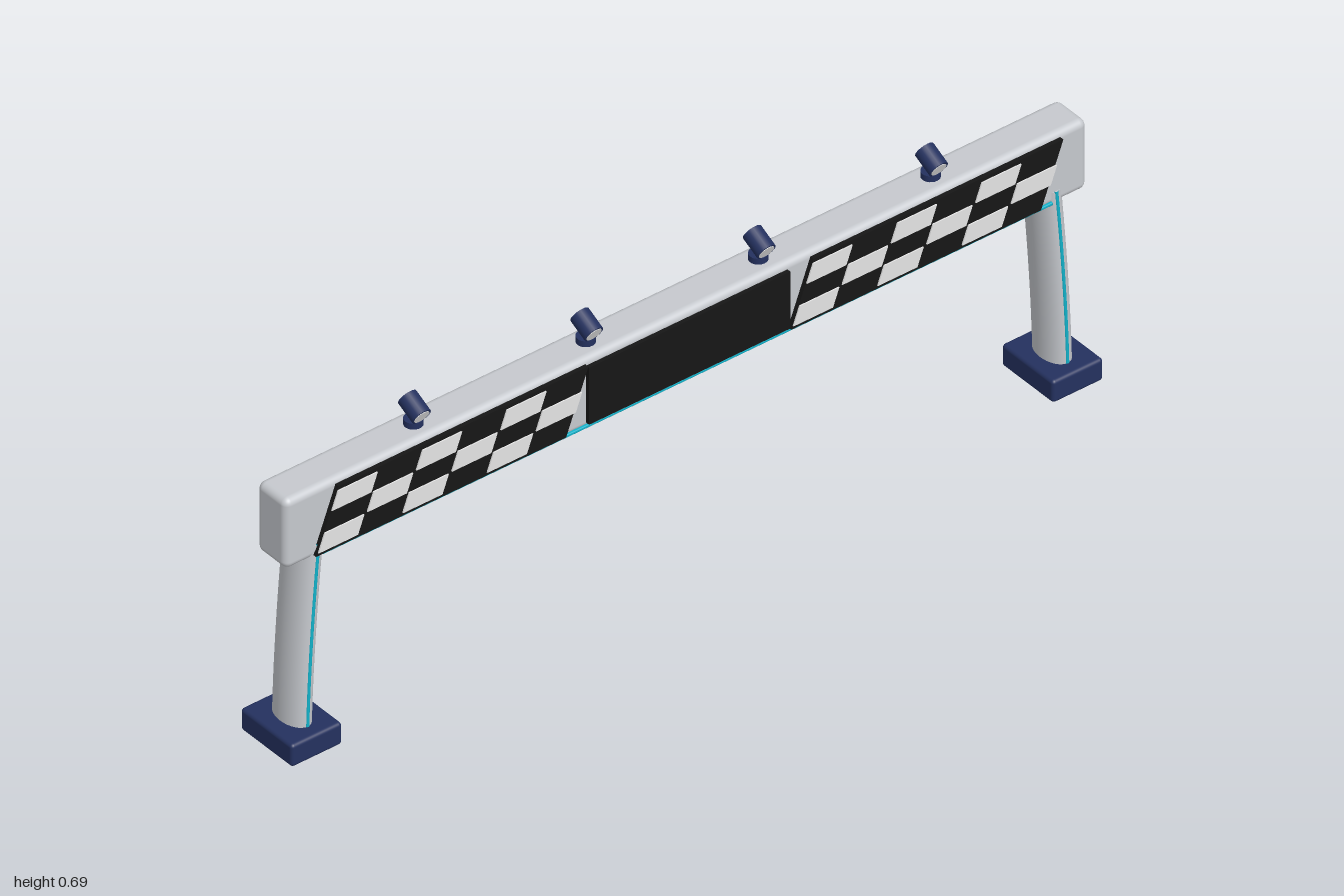
import * as THREE from 'three';
import { RoundedBoxGeometry } from 'three/addons/geometries/RoundedBoxGeometry.js';

const material = (name, color) => {
  const m = new THREE.MeshStandardMaterial({ color });
  m.name = name;
  return m;
};

export function createModel() {
  const body = material('light grey', 0xc6c9ce);
  const navy = material('navy', 0x24315f);
  const black = material('black', 0x161616);
  const white = material('white', 0xe4e4e4);
  const cyan = material('cyan', 0x12b4cc);

  const group = new THREE.Group();
  const add = (parent, name, geometry, mat, x = 0, y = 0, z = 0) => {
    const mesh = new THREE.Mesh(geometry, mat);
    mesh.name = name;
    mesh.position.set(x, y, z);
    parent.add(mesh);
    return mesh;
  };

  // Beam across the top, with a light strip along its lower front edge
  add(group, 'beam', new RoundedBoxGeometry(1.976, 0.167, 0.091, 4, 0.016), body, 0, 0.5335, 0);
  add(group, 'beamLightStrip', new RoundedBoxGeometry(1.8, 0.007, 0.007, 1, 0.002), cyan, 0, 0.456, 0.046);

  // Legs lean gently inwards as they rise
  const legX = (y) => 0.937 - 0.028 * (y / 0.48) ** 1.6;
  for (const side of [1, -1]) {
    const leg = new THREE.Group();
    leg.name = side > 0 ? 'leftLeg' : 'rightLeg';
    group.add(leg);

    const column = new THREE.CylinderGeometry(1, 1, 0.48, 32, 12);
    column.scale(0.03, 1, 0.049);
    column.translate(0, 0.24, 0);
    const p = column.attributes.position;
    for (let i = 0; i < p.count; i++) p.setX(i, p.getX(i) + side * legX(p.getY(i)));
    column.computeVertexNormals();
    add(leg, 'column', column, body);

    const path = [];
    for (let i = 0; i <= 8; i++) {
      const y = 0.03 + i * 0.0565;
      path.push(new THREE.Vector3(side * legX(y), y, 0.0465));
    }
    const strip = new THREE.TubeGeometry(new THREE.CatmullRomCurve3(path), 16, 0.0045, 8);
    add(leg, 'legLightStrip', strip, cyan);

    add(leg, 'foot', new RoundedBoxGeometry(0.125, 0.053, 0.16, 3, 0.008), navy, side * 0.9375, 0.0285, 0);
  }

  // Slanted plate: x0 and x1 are measured at mid height
  const midY = 0.5325, slant = 0.055 / 0.145;
  const slantedPlate = (x0, x1, y0, y1, depth) => {
    const at = (x, y) => new THREE.Vector2(x + (y - midY) * slant, y);
    const shape = new THREE.Shape([at(x0, y0), at(x1, y0), at(x1, y1), at(x0, y1)]);
    return new THREE.ExtrudeGeometry(shape, { depth, bevelEnabled: false });
  };

  // Two chequered banners, six columns by three rows
  for (const [name, centre] of [['rightBanner', -0.585], ['leftBanner', 0.585]]) {
    const banner = new THREE.Group();
    banner.name = name;
    group.add(banner);
    add(banner, 'backing', slantedPlate(centre - 0.308, centre + 0.308, 0.46, 0.605, 0.01), black, 0, 0, 0.045);
    const w = 0.104, h = 0.0435, bottom = 0.467;
    for (let row = 0; row < 3; row++) {
      for (let col = row % 2; col < 6; col += 2) {
        const x = centre - 3 * w + col * w + 0.004;
        const y = bottom + row * h;
        add(banner, 'tile', slantedPlate(x + 0.001, x + w - 0.006, y + 0.001, y + h - 0.001, 0.003), white, 0, 0, 0.055);
      }
    }
  }

  // Dark screen in the middle
  add(group, 'screen', new THREE.BoxGeometry(0.496, 0.137, 0.01), black, 0, midY, 0.05);

  // Four spotlights tipped towards the front
  for (const x of [-0.637, -0.2125, 0.2125, 0.637]) {
    const lamp = new THREE.Group();
    lamp.name = 'spotlight';
    lamp.position.x = x;
    group.add(lamp);
    add(lamp, 'mount', new THREE.CylinderGeometry(0.02, 0.02, 0.02, 24), navy, 0, 0.621, 0);
    const head = new THREE.Group();
    head.name = 'head';
    head.position.set(0, 0.659, 0.003);
    head.rotation.x = 0.46;
    lamp.add(head);
    add(head, 'housing', new THREE.CylinderGeometry(0.0215, 0.0215, 0.05, 24).rotateX(Math.PI / 2), navy);
    add(head, 'lens', new THREE.CylinderGeometry(0.0175, 0.0175, 0.002, 24).rotateX(Math.PI / 2), white, 0, 0, 0.025);
  }

  return group;
}
